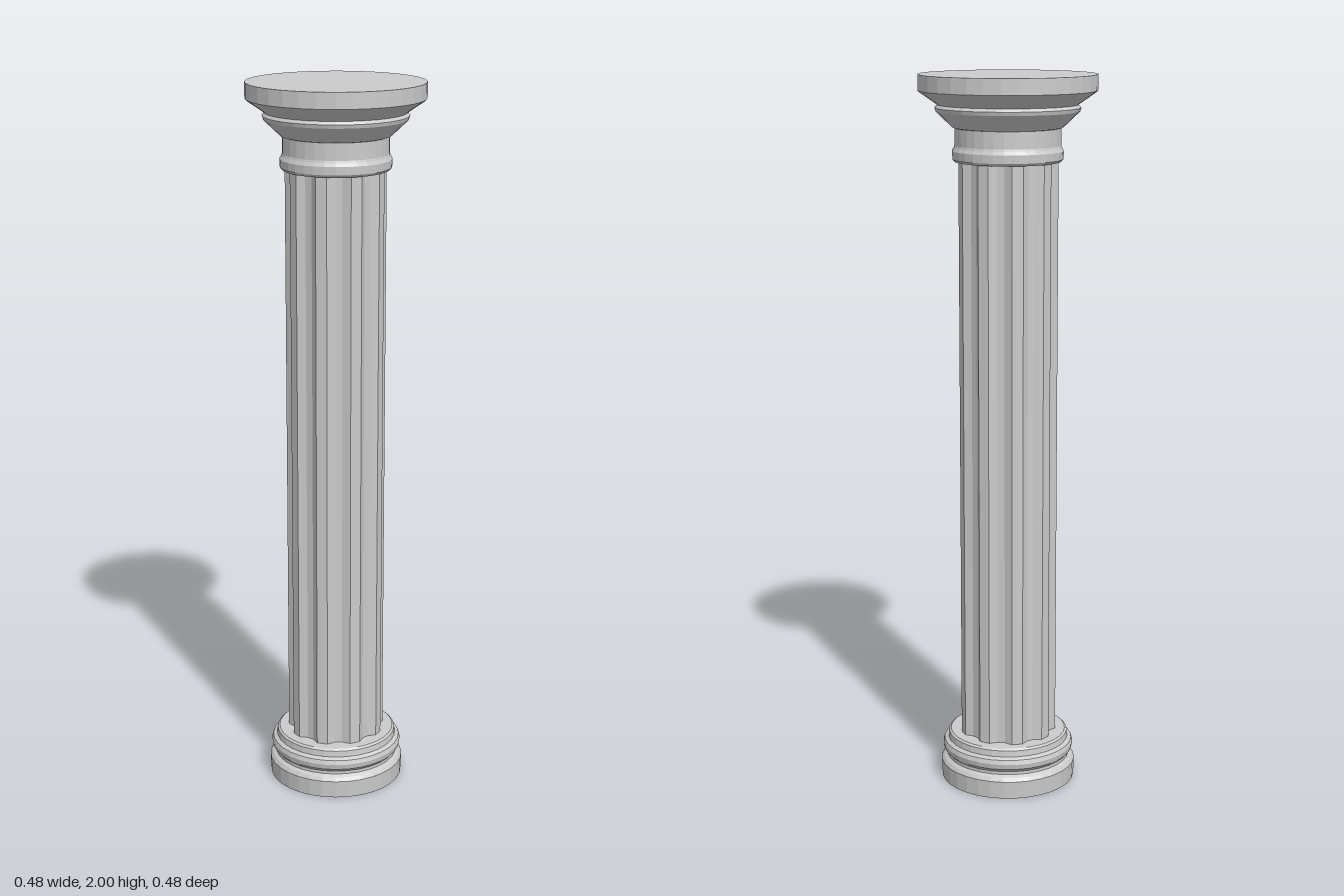
import * as THREE from 'three';

const SIDES = 32;
const FLUTES = 9;

export function createModel() {
  const group = new THREE.Group();
  group.name = 'column';
  const material = new THREE.MeshStandardMaterial({ color: 0xcccccc, flatShading: true });

  // Turned part from a [radius, height] profile, listed bottom to top;
  // a quarter turn puts a corner on the x axis
  function turned(name, profile) {
    const points = profile.map(([r, y]) => new THREE.Vector2(r, y));
    const mesh = new THREE.Mesh(new THREE.LatheGeometry(points, SIDES), material);
    mesh.name = name;
    group.add(mesh);
  }

  // Plinth, with a scotia and rounded torus above
  turned('base', [
    [0, 0], [0.19, 0], [0.192, 0.05], [0.185, 0.06], [0.175, 0.066],
    [0.175, 0.075], [0.184, 0.085], [0.187, 0.1], [0.183, 0.112],
    [0.172, 0.118], [0.17, 0.135], [0.164, 0.14], [0, 0.14],
  ]);

  // Shaft outline: narrow ridges between shallow three-faced flutes
  const outline = [];
  for (let i = 0; i < FLUTES; i++) {
    const centre = (i / FLUTES) * Math.PI * 2;
    for (const [degrees, r] of [[-13.6, 0.137], [-4.8, 0.122], [4.8, 0.122], [13.6, 0.137]]) {
      const a = centre + THREE.MathUtils.degToRad(degrees);
      // Outline y becomes -z once the extrusion stands upright
      outline.push(new THREE.Vector2(Math.cos(a) * r, -Math.sin(a) * r));
    }
  }
  const shaftGeometry = new THREE.ExtrudeGeometry(new THREE.Shape(outline.reverse()), {
    depth: 1.66, bevelEnabled: false,
  });
  shaftGeometry.rotateX(-Math.PI / 2).translate(0, 0.13, 0);
  const shaft = new THREE.Mesh(shaftGeometry, material);
  shaft.name = 'flutedShaft';
  group.add(shaft);

  // Neck ring, flared echinus and round abacus
  turned('capital', [
    [0, 1.768], [0.144, 1.768], [0.15, 1.775], [0.151, 1.797], [0.146, 1.806],
    [0.144, 1.812], [0.144, 1.858], [0.15, 1.86], [0.194, 1.902], [0.197, 1.912],
    [0.19, 1.92], [0.197, 1.925], [0.236, 1.952], [0.242, 1.957], [0.242, 2], [0, 2],
  ]);

  return group;
}
